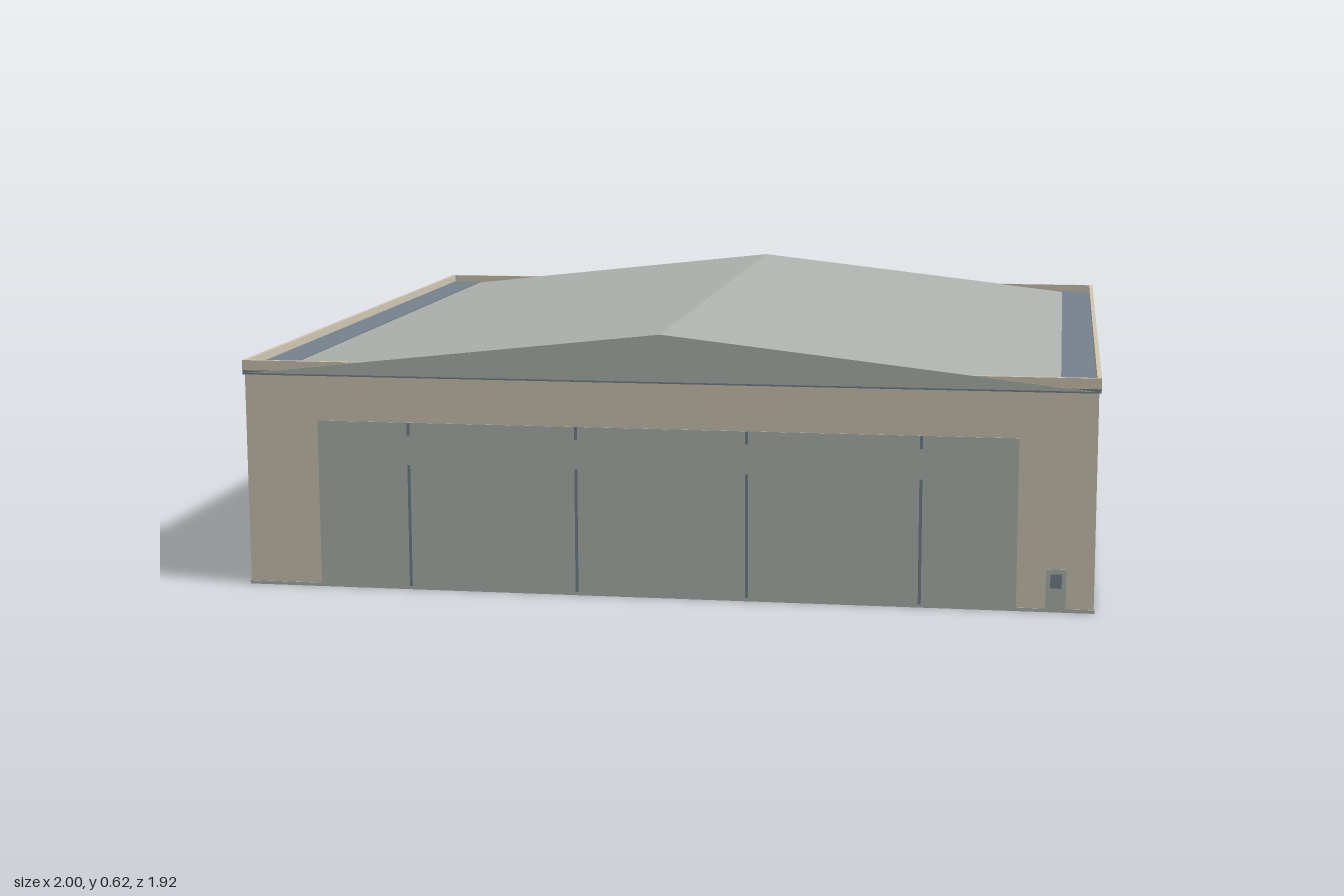
import * as THREE from 'three';

export function createModel() {
  const group = new THREE.Group();
  group.name = 'warehouse';

  const material = (name, color) => {
    const m = new THREE.MeshStandardMaterial({ color });
    m.name = name;
    return m;
  };
  const beige = material('beige cladding', 0xd0c7b4);
  const grey = material('pale grey metal', 0xaeb4b0);
  const slate = material('slate trim', 0x77828d);

  // Box given by its lower and upper limits on each axis
  const box = (name, mat, x0, x1, y0, y1, z0, z1) => {
    const mesh = new THREE.Mesh(new THREE.BoxGeometry(x1 - x0, y1 - y0, z1 - z0), mat);
    mesh.position.set((x0 + x1) / 2, (y0 + y1) / 2, (z0 + z1) / 2);
    mesh.name = name;
    group.add(mesh);
    return mesh;
  };

  // Slab and main walls
  box('baseSlab', grey, -0.997, 0.997, 0, 0.008, -0.957, 0.957);
  box('walls', beige, -0.995, 0.995, 0.008, 0.506, -0.955, 0.955);

  // Trim band under the parapet
  box('eavesBand', slate, -1, 1, 0.506, 0.516, -0.958, 0.958);

  // Shallow gabled roof, running front to back
  const profile = new THREE.Shape([
    new THREE.Vector2(-0.985, 0.51),
    new THREE.Vector2(0.985, 0.51),
    new THREE.Vector2(0, 0.62),
  ]);
  const roofGeometry = new THREE.ExtrudeGeometry(profile, { depth: 1.92, bevelEnabled: false });
  roofGeometry.translate(0, 0, -0.96);
  const roof = new THREE.Mesh(roofGeometry, grey);
  roof.name = 'gabledRoof';
  group.add(roof);

  // Side parapets, box gutters and the parapet returns at the corners
  for (const s of [-1, 1]) {
    const span = (a, b) => (s > 0 ? [a, b] : [-b, -a]);
    box('sideParapet', beige, ...span(0.99, 1), 0.516, 0.54, -0.958, 0.958);
    box('gutter', slate, ...span(0.91, 0.99), 0.511, 0.521, -0.948, 0.948);
    for (const e of [-1, 1]) {
      const z = e > 0 ? [0.948, 0.958] : [-0.958, -0.948];
      box('parapetReturn', beige, ...span(0.7, 0.99), 0.516, 0.54, ...z);
    }
  }

  // Wide front door with vertical panel joints
  box('frontDoor', grey, -0.82, 0.82, 0.008, 0.4, 0.952, 0.957);
  for (const x of [-0.6, -0.2, 0.2, 0.6]) {
    box('doorJoint', slate, x - 0.0035, x + 0.0035, 0.008, 0.3, 0.954, 0.9585);
    box('upperDoorJoint', slate, x - 0.0035, x + 0.0035, 0.37, 0.4, 0.954, 0.9585);
  }

  // Small side door with a window
  box('sideDoor', grey, 0.886, 0.932, 0.008, 0.1, 0.952, 0.957);
  box('sideDoorWindow', slate, 0.896, 0.922, 0.056, 0.089, 0.954, 0.9585);

  return group;
}
